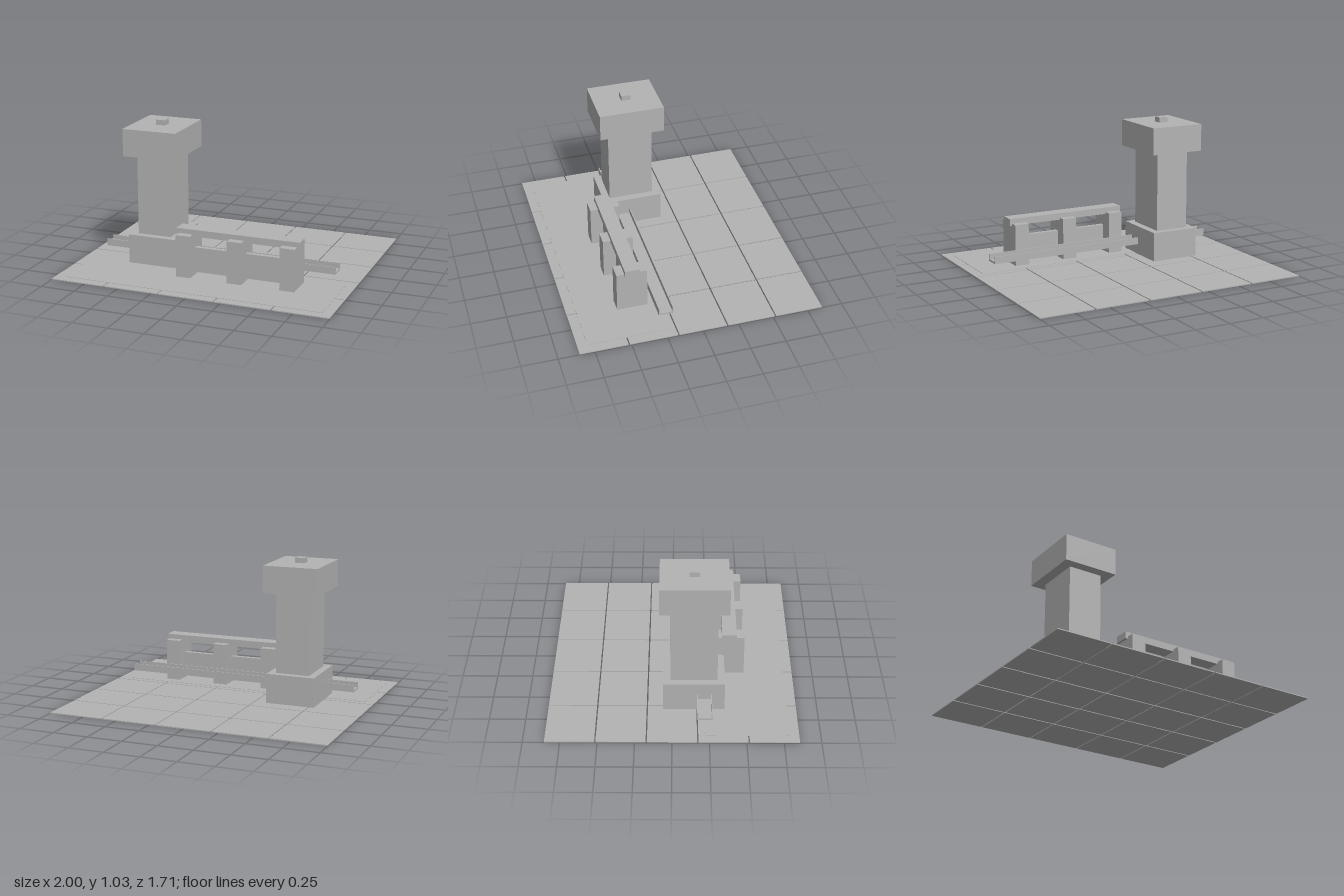
import * as THREE from 'three';

export function createModel() {
  const model = new THREE.Group();
  model.name = 'watchtowerYard';
  const stone = new THREE.MeshStandardMaterial({ color: 0xb3b3b3 });
  stone.name = 'grey stone';

  // Box given by its [min, max] range on each axis
  function block(name, [x0, x1], [y0, y1], [z0, z1], parent = model) {
    const mesh = new THREE.Mesh(new THREE.BoxGeometry(x1 - x0, y1 - y0, z1 - z0), stone);
    mesh.position.set((x0 + x1) / 2, (y0 + y1) / 2, (z0 + z1) / 2);
    mesh.name = name;
    parent.add(mesh);
    return mesh;
  }
  function group(name) {
    const g = new THREE.Group();
    g.name = name;
    model.add(g);
    return g;
  }

  // Paving: 5 x 5 tiles with narrow gaps
  const paving = group('paving');
  const pitchX = 0.4015, pitchZ = 0.3437, gap = 0.009;
  for (let i = -2; i <= 2; i++) {
    for (let j = -2; j <= 2; j++) {
      const x = i * pitchX, z = j * pitchZ;
      const hx = (pitchX - gap) / 2, hz = (pitchZ - gap) / 2;
      block('pavingTile', [x - hx, x + hx], [0, 0.007], [z - hz, z + hz], paving);
    }
  }

  // Thin slab under the front half
  block('frontSlab', [-0.93, 0.93], [0.004, 0.0095], [0.22, 0.787]);

  // Tower, stacked from square blocks around one centre
  const tower = group('tower');
  const cx = -0.465, cz = 0.148;
  const tiers = [
    ['towerBase', 0.353, 0.425, 0.007, 0.218],
    ['towerShaft', 0.247, 0.323, 0.218, 0.795],
    ['towerCap', 0.397, 0.466, 0.795, 0.99],
    ['towerFinial', 0.068, 0.068, 0.99, 1.027],
  ];
  for (const [name, w, d, y0, y1] of tiers) {
    block(name, [cx - w / 2, cx + w / 2], [y0, y1], [cz - d / 2, cz + d / 2], tower);
  }

  // Open channel running through the tower base
  const channel = group('channel');
  block('channelFloor', [-0.86, 0.86], [0.083, 0.096], [0.169, 0.272], channel);
  block('channelBackWall', [-0.86, 0.86], [0.096, 0.134], [0.169, 0.176], channel);
  block('channelFrontWall', [-0.86, 0.86], [0.096, 0.134], [0.265, 0.272], channel);

  // Gate: three piers, two raised panels and a top beam
  const gate = group('gate');
  const pierX = [-0.162, 0.214, 0.593], half = 0.0525;
  pierX.forEach((x, i) => {
    block('gatePier', [x - half, x + half], [0.007, 0.31], [0.294, 0.509], gate);
    if (i < 2) {
      block('gatePanel', [x + half, pierX[i + 1] - half], [0.027, 0.206], [0.384, 0.419], gate);
    }
  });
  block('gateBeam', [-0.232, 0.662], [0.295, 0.344], [0.349, 0.453], gate);

  return model;
}
